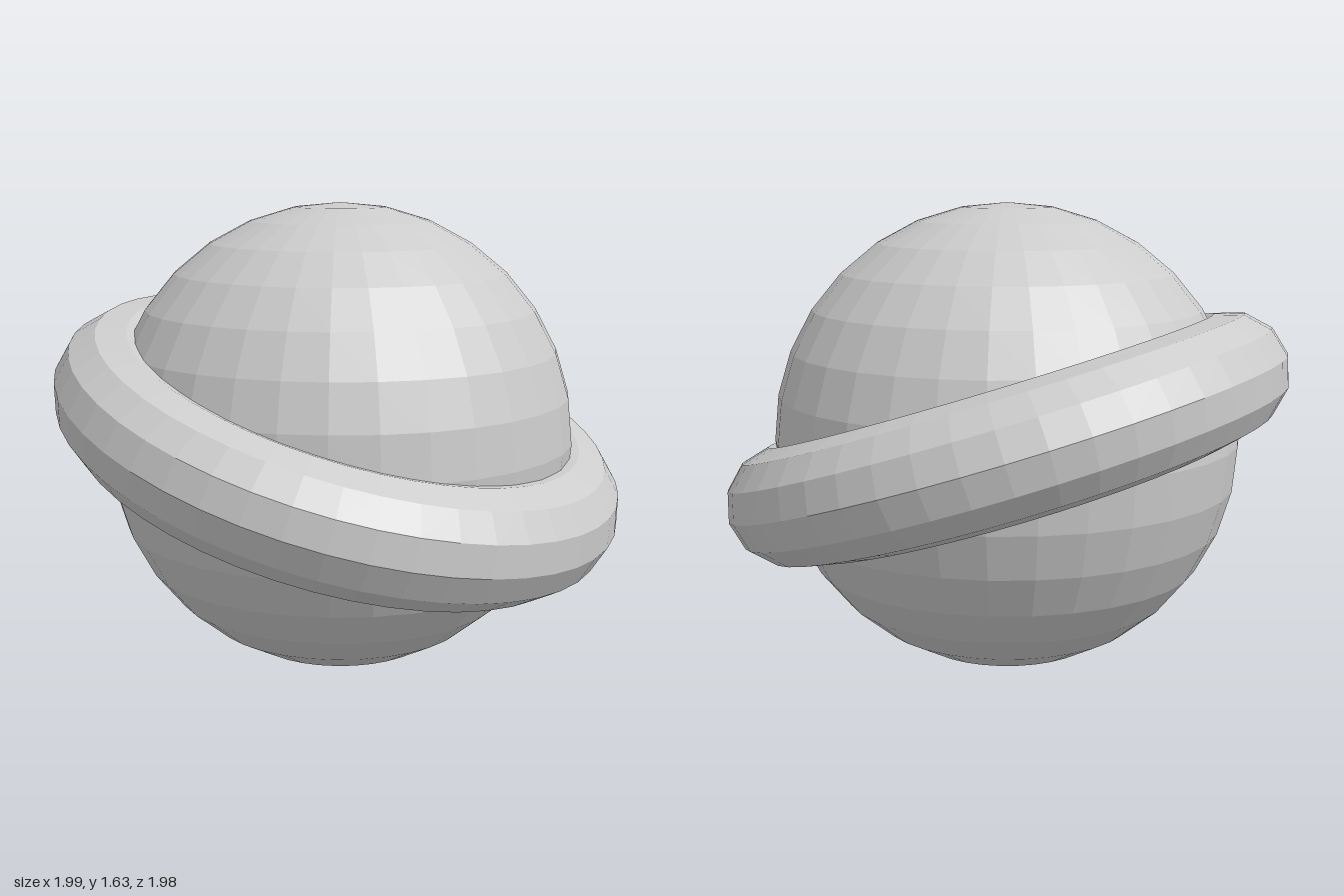
import * as THREE from 'three';

export function createModel() {
  const group = new THREE.Group();
  const material = new THREE.MeshStandardMaterial({ color: 0xcccccc, flatShading: true });
  const radius = 0.814;

  // faceted globe
  const globe = new THREE.Mesh(new THREE.SphereGeometry(radius, 32, 16), material);
  globe.name = 'globe';
  globe.position.y = radius;

  // thick belt, dipping towards the front and the left
  const belt = new THREE.Mesh(
    new THREE.TorusGeometry(radius, radius / 4, 12, 48).rotateX(Math.PI / 2),
    material
  );
  belt.name = 'ring';
  belt.position.y = radius;
  belt.rotation.set(0.24, 0, -0.2);

  group.add(globe, belt);
  return group;
}
